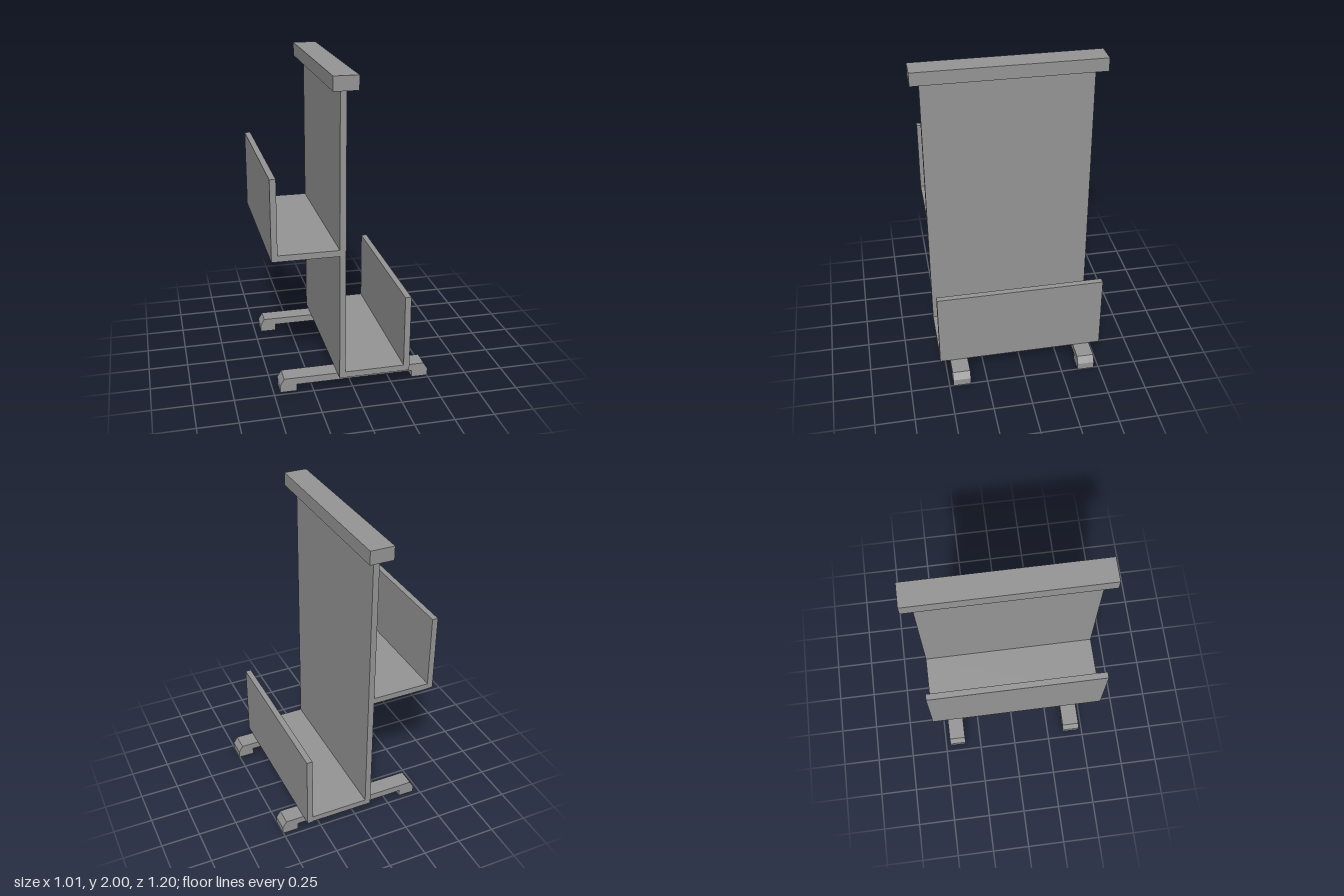
import * as THREE from 'three';

const material = new THREE.MeshStandardMaterial({ color: 0x969696, flatShading: true });

// Board given by its lower and upper limits on each axis
function board(name, x0, x1, y0, y1, z0 = -0.535, z1 = 0.541) {
  const mesh = new THREE.Mesh(new THREE.BoxGeometry(x1 - x0, y1 - y0, z1 - z0), material);
  mesh.position.set((x0 + x1) / 2, (y0 + y1) / 2, (z0 + z1) / 2);
  mesh.name = name;
  return mesh;
}

// Foot rail: chamfered ends, with a pad below each end
function footRail(name, z0, z1) {
  const shape = new THREE.Shape([
    [-0.459, 0], [-0.353, 0], [-0.353, 0.045], [0.397, 0.045], [0.397, 0], [0.503, 0],
    [0.503, 0.047], [0.476, 0.091], [-0.433, 0.091], [-0.459, 0.047],
  ].map(([x, y]) => new THREE.Vector2(x, y)));
  const geometry = new THREE.ExtrudeGeometry(shape, { depth: z1 - z0, bevelEnabled: false });
  const mesh = new THREE.Mesh(geometry, material);
  mesh.position.z = z0;
  mesh.name = name;
  return mesh;
}

export function createModel() {
  const model = new THREE.Group();
  model.name = 'rackStand';

  // Upright panel and top cap
  model.add(board('uprightPanel', -0.094, -0.056, 0.093, 1.914));
  model.add(board('topCap', -0.149, 0.001, 1.914, 2, -0.6, 0.6));

  // Upper tray on the right side
  const upperTray = new THREE.Group();
  upperTray.name = 'upperTray';
  upperTray.add(board('upperTrayFloor', -0.466, -0.094, 0.913, 0.952));
  upperTray.add(board('upperTrayWall', -0.503, -0.466, 0.913, 1.418, -0.533, 0.541));
  model.add(upperTray);

  // Lower tray on the left side
  const lowerTray = new THREE.Group();
  lowerTray.name = 'lowerTray';
  lowerTray.add(board('lowerTrayFloor', -0.056, 0.32, 0.093, 0.132));
  lowerTray.add(board('lowerTrayWall', 0.32, 0.358, 0.093, 0.6, -0.539, 0.541));
  model.add(lowerTray);

  // Feet
  model.add(footRail('frontFoot', 0.36, 0.475));
  model.add(footRail('backFoot', -0.468, -0.358));
  return model;
}
